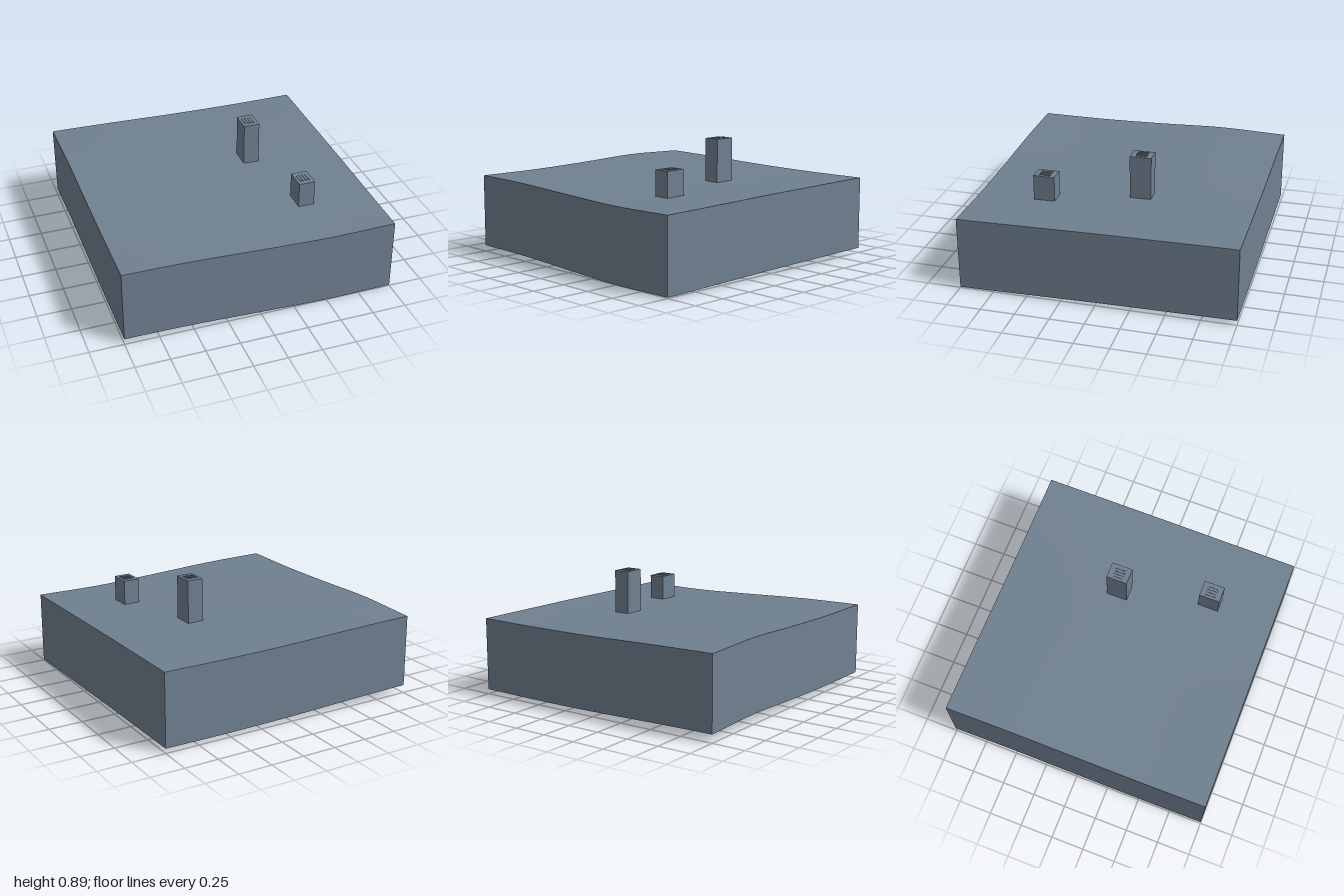
import * as THREE from 'three';

const THICKNESS = 0.537;
const SEGMENTS = 24;

// Ground heights on a 5 x 5 grid: rows run back to front, columns along +x
const HEIGHTS = [
  [0.597, 0.588, 0.575, 0.570, 0.573],
  [0.609, 0.594, 0.576, 0.568, 0.568],
  [0.593, 0.584, 0.571, 0.562, 0.562],
  [0.582, 0.574, 0.560, 0.549, 0.552],
  [0.583, 0.576, 0.555, 0.538, 0.543],
];

// Smooth curve through evenly spaced values, t from -1 to 1
function spline(values, t) {
  const s = ((t + 1) / 2) * (values.length - 1);
  const i = Math.min(Math.max(Math.floor(s), 0), values.length - 2);
  const f = s - i;
  const at = (k) => values[Math.min(Math.max(k, 0), values.length - 1)];
  const a = at(i - 1), b = at(i), c = at(i + 1), d = at(i + 2);
  return b + 0.5 * f * (c - a + f * (2 * a - 5 * b + 4 * c - d + f * (3 * (b - c) + d - a)));
}

const groundHeight = (x, z) => spline(HEIGHTS.map((row) => spline(row, x)), z);

export function createModel() {
  const model = new THREE.Group();
  model.name = 'terrainWithTowers';

  const slate = new THREE.MeshStandardMaterial({ color: 0x708090, side: THREE.DoubleSide });
  slate.name = 'slate';

  const add = (parent, geometry, name) => {
    const mesh = new THREE.Mesh(geometry, slate);
    mesh.name = name;
    parent.add(mesh);
    return mesh;
  };

  // Rolling ground surface
  const ground = new THREE.PlaneGeometry(2, 2, SEGMENTS, SEGMENTS).rotateX(-Math.PI / 2);
  const gp = ground.attributes.position;
  for (let i = 0; i < gp.count; i++) gp.setY(i, groundHeight(gp.getX(i), gp.getZ(i)));
  ground.computeVertexNormals();
  add(model, ground, 'ground');

  // Four skirt walls whose lower edge follows the ground; the underside is open
  ['frontWall', 'leftWall', 'backWall', 'rightWall'].forEach((name, side) => {
    const wall = new THREE.PlaneGeometry(2, 2, SEGMENTS, 1).translate(0, 0, 1);
    wall.rotateY((side * Math.PI) / 2);
    const p = wall.attributes.position;
    for (let i = 0; i < p.count; i++) {
      const drop = p.getY(i) < 0 ? THICKNESS : 0;
      p.setY(i, groundHeight(p.getX(i), p.getZ(i)) - drop);
    }
    add(model, wall, name);
  });

  // Towers standing on the ground, each with narrow roof slats
  const towers = [
    { name: 'tallTower', x: 0.33, z: -0.167, base: 0.562, top: 0.885 },
    { name: 'shortTower', x: 0.5, z: 0.5, base: 0.546, top: 0.735 },
  ];
  for (const { name, x, z, base, top } of towers) {
    const tower = new THREE.Group();
    tower.name = name;
    tower.position.set(x, 0, z);
    const body = add(tower, new THREE.BoxGeometry(0.12, top - base, 0.157), 'towerBody');
    body.position.y = (top + base) / 2;
    for (let i = 0; i < 4; i++) {
      const slat = add(tower, new THREE.BoxGeometry(0.012, 0.004, 0.08), 'roofSlat');
      slat.position.set((i - 1.5) * 0.022, top + 0.002, 0);
    }
    model.add(tower);
  }

  return model;
}
